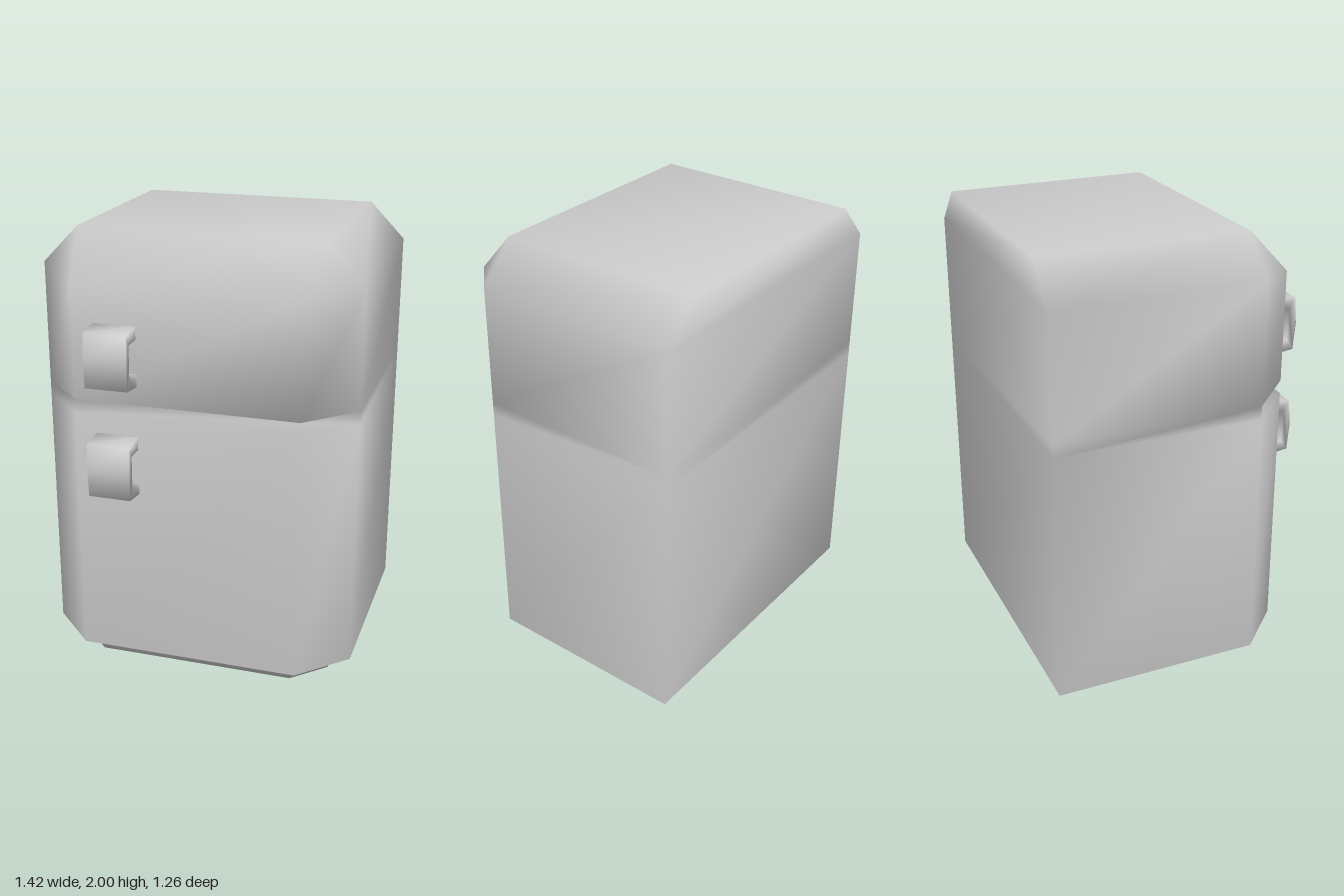
import * as THREE from 'three';
import { mergeVertices } from 'three/addons/utils/BufferGeometryUtils.js';

const material = new THREE.MeshStandardMaterial({ color: 0xcccccc });

// Weld all corners so the shading flows smoothly across edges
function smooth(geometry) {
  geometry.deleteAttribute('normal');
  geometry.deleteAttribute('uv');
  const welded = mergeVertices(geometry, 1e-4);
  welded.computeVertexNormals();
  return welded;
}

// Six-point outline with the two front corners cut off:
// side reaches z = sideZ at x = w, front face spans +-fw at z = frontZ
function ring(y, w, back, sideZ, fw, frontZ, frontY = y) {
  const left = [[-w, y, back], [-w, y, sideZ], [-fw, frontY, frontZ]];
  const right = left.map(([x, py, z]) => [-x, py, z]).reverse();
  return [...left, ...right];
}

// Skin a stack of rings from bottom to top and close both ends
function loft(rings) {
  const positions = [];
  const n = rings[0].length;
  const same = (p, q) => p.every((v, i) => Math.abs(v - q[i]) < 1e-5);
  const tri = (a, b, c) => {
    if (!same(a, b) && !same(b, c) && !same(c, a)) positions.push(...a, ...b, ...c);
  };
  for (let r = 0; r < rings.length - 1; r++) {
    for (let i = 0; i < n; i++) {
      const j = (i + 1) % n;
      const lo = rings[r], hi = rings[r + 1];
      tri(lo[i], lo[j], hi[j]);
      tri(lo[i], hi[j], hi[i]);
    }
  }
  const bottom = rings[0], top = rings[rings.length - 1];
  for (let i = 1; i < n - 1; i++) {
    tri(bottom[0], bottom[i + 1], bottom[i]);
    tri(top[0], top[i], top[i + 1]);
  }
  const geometry = new THREE.BufferGeometry();
  geometry.setAttribute('position', new THREE.Float32BufferAttribute(positions, 3));
  return smooth(geometry);
}

// C-shaped door handle, profile in (z, y) extruded across x
function handleGeometry() {
  const shape = new THREE.Shape([
    [0.51, -0.133], [0.62, -0.12], [0.63, 0], [0.62, 0.12], [0.51, 0.133],
    [0.51, 0.075], [0.59, 0.075], [0.59, -0.075], [0.51, -0.075],
  ].map(([z, y]) => new THREE.Vector2(z, y)));
  const geometry = new THREE.ExtrudeGeometry(shape, { depth: 0.19, bevelEnabled: false });
  geometry.rotateY(-Math.PI / 2);
  geometry.translate(-0.213, 0, 0);
  return smooth(geometry);
}

export function createModel() {
  const model = new THREE.Group();
  model.name = 'refrigerator';

  const full = (y) => ring(y, 0.71, -0.63, 0.3, 0.5, 0.51);
  const recessed = (y) => ring(y, 0.71, -0.63, 0.3, 0.71, 0.3);
  const plinth = (y) => ring(y, 0.6, -0.51, 0.254, 0.454, 0.4);

  // Cabinet with plinth, lower door, gap between doors, upper door and bevelled top
  const cabinet = new THREE.Mesh(loft([
    plinth(0), plinth(0.09),
    full(0.09), full(1.23),
    recessed(1.23), recessed(1.29),
    full(1.29), ring(1.835, 0.71, -0.63, 0.3, 0.5, 0.51, 1.79),
    ring(2, 0.55, -0.63, 0.3, 0.55, 0.3),
  ]), material);
  cabinet.name = 'cabinet';
  model.add(cabinet);

  // One handle on each door
  const handle = handleGeometry();
  for (const [name, y] of [['upperHandle', 1.505], ['lowerHandle', 1.012]]) {
    const mesh = new THREE.Mesh(handle, material);
    mesh.name = name;
    mesh.position.y = y;
    model.add(mesh);
  }
  return model;
}
